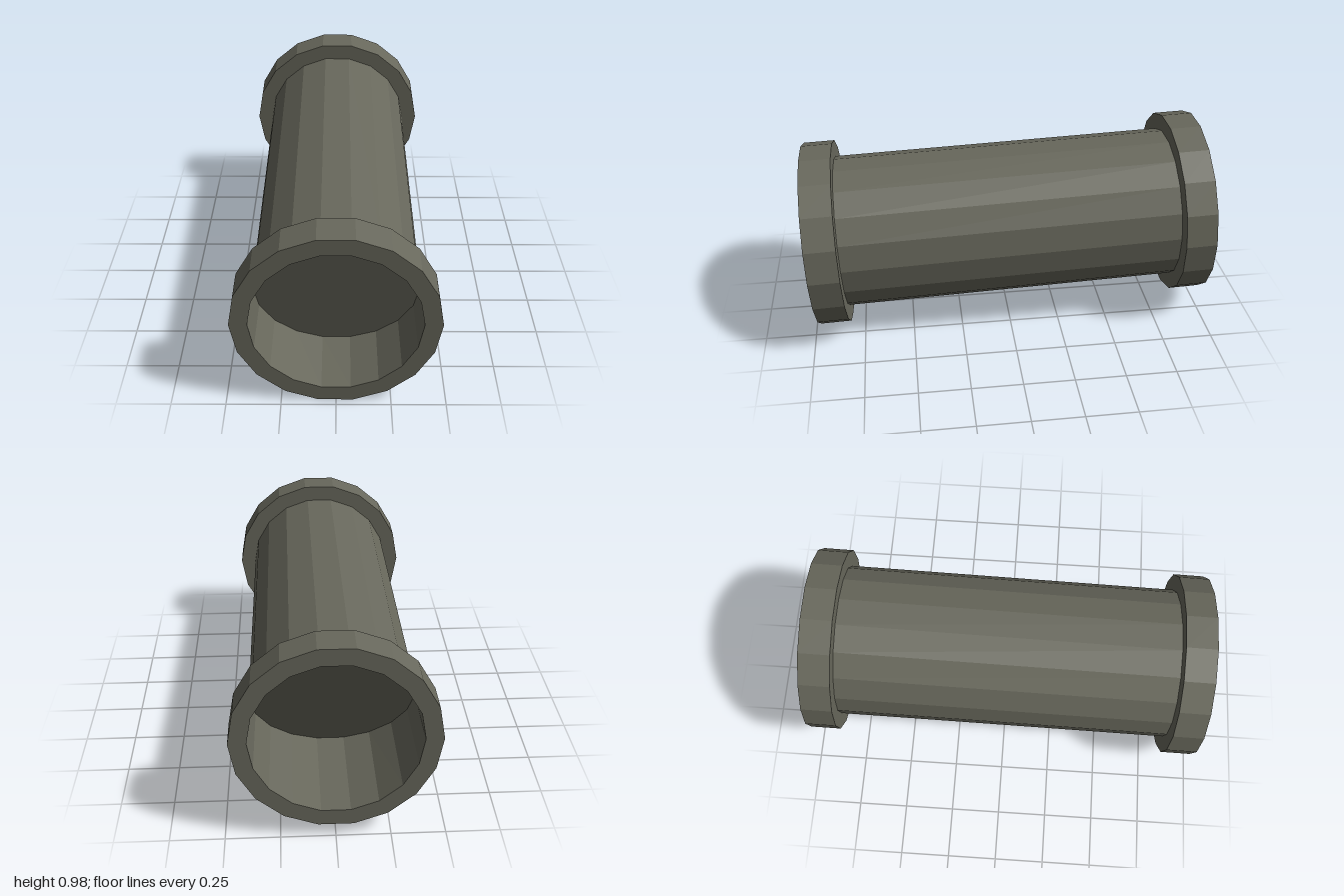
import * as THREE from 'three';

const SIDES = 18;
const BORE = 0.382;
const RIM = 0.463;
const HALF = 0.984;
const FLANGE = 0.152;

// Faceted ring surface around the z axis from (radius, z) points
function turned(points) {
  const geo = new THREE.LatheGeometry(
    points.map(([r, z]) => new THREE.Vector2(r, z)), SIDES, Math.PI / 2);
  return geo.rotateX(Math.PI / 2);
}

function faceted(geo) {
  const flat = geo.toNonIndexed();
  flat.computeVertexNormals();
  return flat;
}

// Inner wall of one end, tapering very slightly, closed by a slanted plug
function recess(depth, slopeY) {
  const geo = turned([[BORE, 0], [BORE - 0.003, -depth], [0, -depth]]);
  const p = geo.attributes.position;
  for (let i = 0; i < p.count; i++) {
    if (p.getZ(i) < -0.001) p.setZ(i, p.getZ(i) + slopeY * p.getY(i));
  }
  return geo.translate(0, 0, HALF);
}

export function createModel() {
  const model = new THREE.Group();
  model.name = 'flangedPipe';
  const metal = new THREE.MeshStandardMaterial({ color: 0x68685c, side: THREE.DoubleSide });
  metal.name = 'olive grey metal';

  // Pipe leans slightly down toward the front
  const pipe = new THREE.Group();
  pipe.name = 'pipe';
  pipe.position.y = 0.494;
  pipe.rotation.x = THREE.MathUtils.degToRad(2.04);
  model.add(pipe);

  const add = (name, geo) => {
    const mesh = new THREE.Mesh(faceted(geo), metal);
    mesh.name = name;
    pipe.add(mesh);
  };

  // Outer wall
  const inner = HALF - FLANGE;
  add('pipeBody', turned([[BORE, -inner], [BORE, inner]]));

  // Collars at both ends, with their slanted inner plugs
  const collar = () => turned([[BORE, inner], [RIM, inner], [RIM, HALF], [BORE, HALF]]);
  add('frontFlange', collar());
  add('backFlange', collar().rotateY(Math.PI));
  add('frontRecess', recess(0.25, 0.2));
  add('backRecess', recess(0.34, 0.52).rotateY(Math.PI));

  return model;
}
